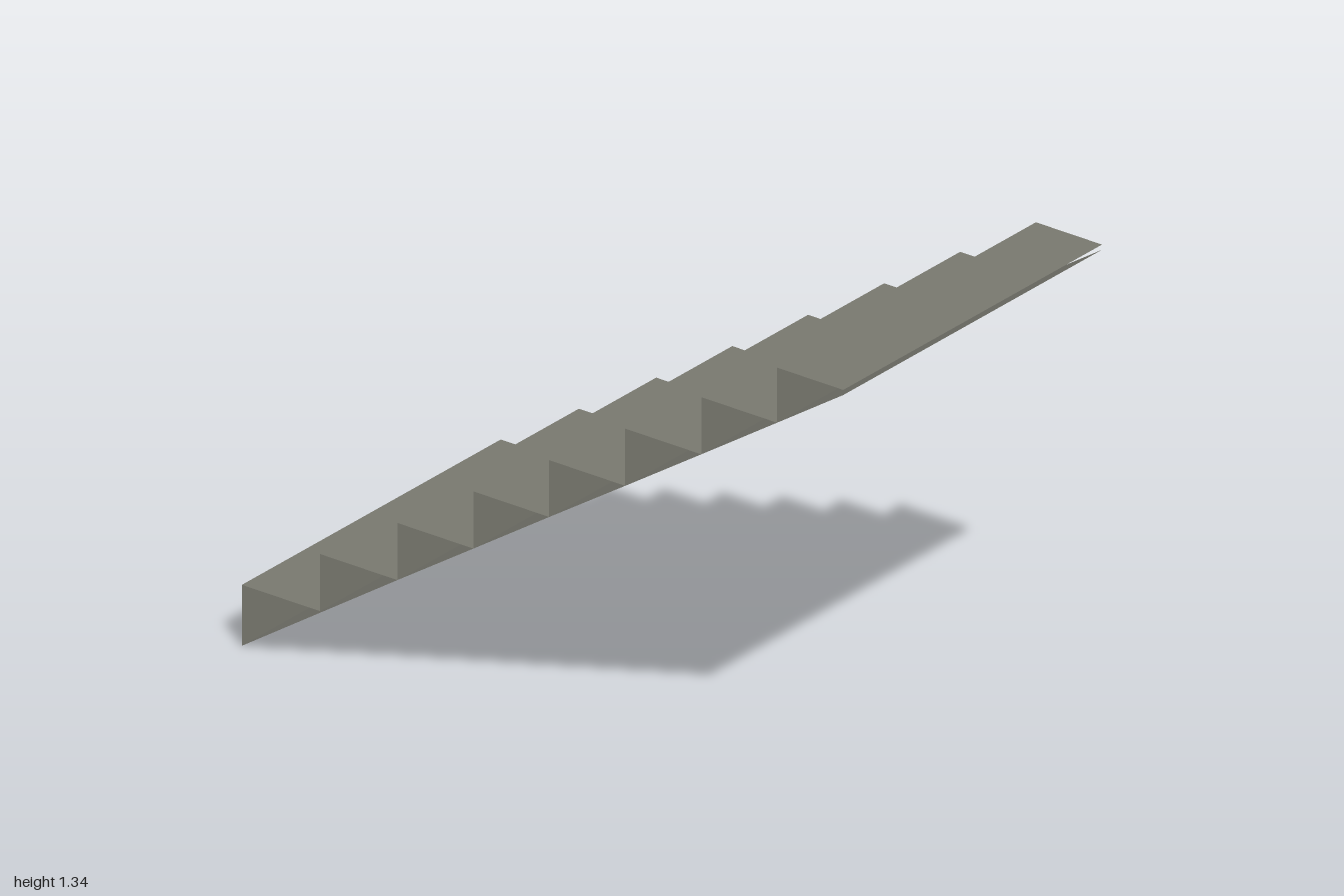
import * as THREE from 'three';

// Open-sided flight of stairs climbing towards +x, made of thin sheets.
const WIDTH = 1.11;
const EDGES = [-1, -0.74, -0.483, -0.23, 0.022, 0.275, 0.528, 0.78, 1];
const LEVELS = [0, 0.178, 0.345, 0.512, 0.679, 0.845, 1.012, 1.179, 1.34];

export function createModel() {
  const group = new THREE.Group();
  const stone = new THREE.MeshStandardMaterial({ color: 0x78786f, side: THREE.DoubleSide });
  stone.name = 'greyStone';

  // Flat sheet spanning the width between two points of the side profile
  function sheet(name, x0, y0, x1, y1) {
    const geometry = new THREE.PlaneGeometry(Math.hypot(x1 - x0, y1 - y0), WIDTH);
    geometry.rotateX(-Math.PI / 2);
    geometry.rotateZ(Math.atan2(y1 - y0, x1 - x0));
    geometry.translate((x0 + x1) / 2, (y0 + y1) / 2, 0);
    const mesh = new THREE.Mesh(geometry, stone);
    mesh.name = name;
    group.add(mesh);
  }

  // Risers and treads
  for (let i = 0; i < 8; i++) {
    sheet(`riser${i + 1}`, EDGES[i], LEVELS[i], EDGES[i], LEVELS[i + 1]);
    sheet(`tread${i + 1}`, EDGES[i], LEVELS[i + 1], EDGES[i + 1], LEVELS[i + 1]);
  }

  // Sloping underside: one long bottom panel, then one per step,
  // ending just below the top tread
  sheet('undersideBottom', 1, 1.325, EDGES[7], LEVELS[7]);
  for (let i = 2; i < 7; i++) {
    sheet(`underside${i}`, EDGES[i + 1], LEVELS[i + 1], EDGES[i], LEVELS[i]);
  }
  sheet('undersideFoot', EDGES[2], LEVELS[2], EDGES[0], LEVELS[0]);

  return group;
}
